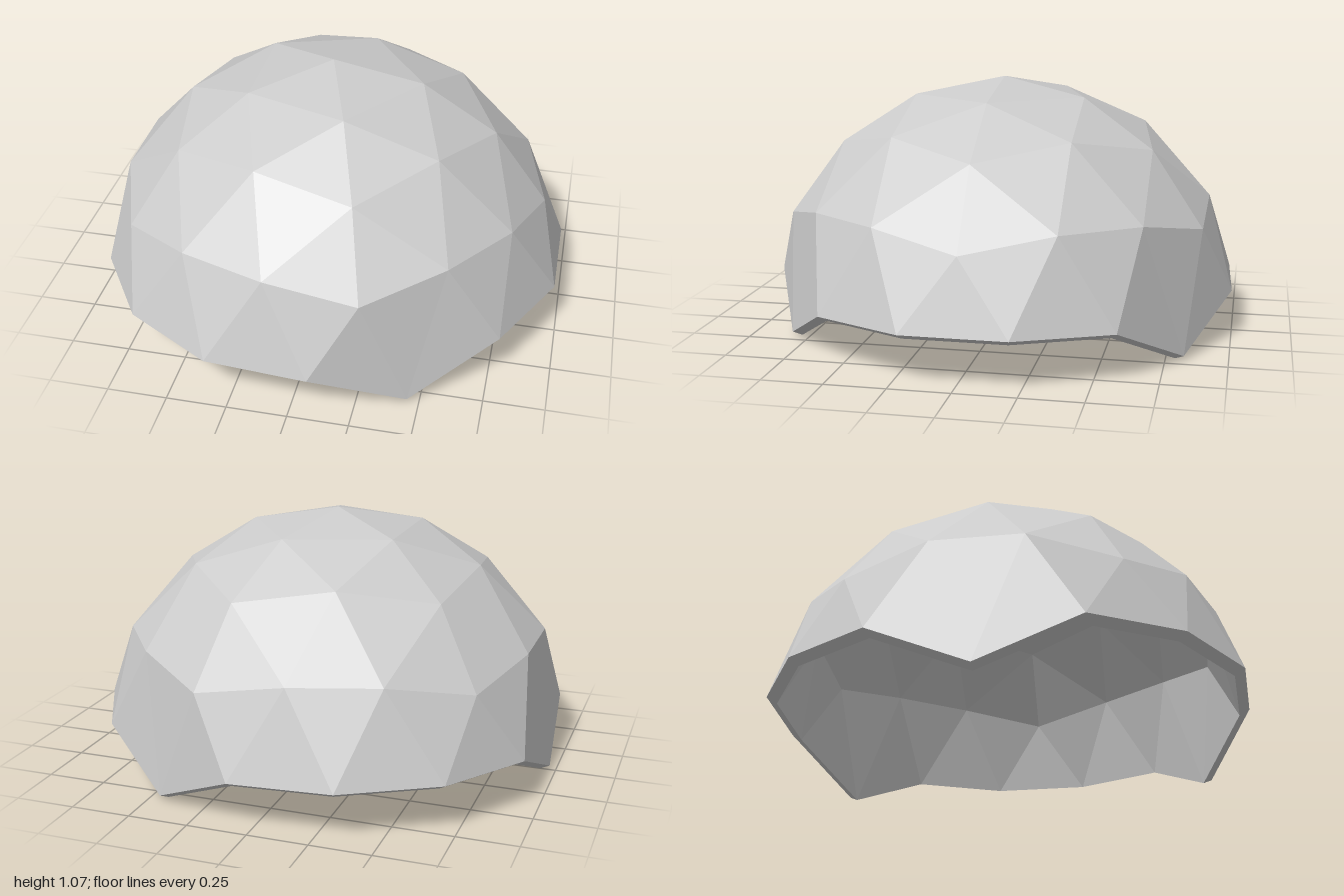
import * as THREE from 'three';

const CX = -0.0235, CY = 0.04; // centre of the dome
const COUNTS = [1, 5, 10, 15, 15]; // vertices per ring, apex to rim
const STARTS = [0, 1, 6, 16, 31];
const TOTAL = 46;

// Radius and height of vertex n in a ring
function profile(ring, n) {
  if (ring === 0) return [0, 1.0757];
  if (ring === 1) return [0.381, 1.004];
  if (ring === 2) return n % 2 ? [0.622, 0.872] : [0.694, 0.807];
  if (ring === 3) return n % 3 ? [0.89, 0.569] : [0.921, 0.5];
  // rim: three drooping tips, five steps apart
  const step = n % 5;
  if (step === 2) return [0.951, 0.0205];
  return step === 1 || step === 3 ? [1.003, 0.2] : [1.026, 0.208];
}

// One skin of the dome, shrunk about its centre
function addSkin(positions, scale, rimDrop) {
  COUNTS.forEach((count, ring) => {
    for (let n = 0; n < count; n++) {
      const [r, y] = profile(ring, n);
      const a = ((n + (ring === 4 ? 0.5 : 0)) / count) * Math.PI * 2;
      positions.push(
        CX + r * scale * Math.cos(a),
        CY + (y - CY) * scale - (ring === 4 ? rimDrop : 0),
        r * scale * Math.sin(a)
      );
    }
  });
}

export function createModel() {
  const positions = [];
  addSkin(positions, 1, 0);
  addSkin(positions, 0.957, 0.019);

  const at = (ring, n) => STARTS[ring] + ((n + COUNTS[ring]) % COUNTS[ring]);
  const outer = [];

  // Five-sided geodesic cap, three rows per sector
  for (let k = 0; k < 3; k++) {
    for (let i = 0; i < 5; i++) {
      for (let j = 0; j <= k; j++) {
        const a = at(k, k * i + j), o = (k + 1) * i + j;
        outer.push([a, at(k + 1, o + 1), at(k + 1, o)]);
        if (j < k) outer.push([a, at(k, k * i + j + 1), at(k + 1, o + 1)]);
      }
    }
  }
  // Lower band of alternating triangles
  for (let n = 0; n < 15; n++) {
    outer.push([at(3, n), at(4, n), at(4, n - 1)]);
    outer.push([at(3, n), at(3, n + 1), at(4, n)]);
  }

  const index = [];
  for (const [a, b, c] of outer) {
    index.push(a, b, c, a + TOTAL, c + TOTAL, b + TOTAL);
  }
  // Edge closing the two skins
  for (let n = 0; n < 15; n++) {
    const a = at(4, n), b = at(4, n + 1);
    index.push(a, b, b + TOTAL, a, b + TOTAL, a + TOTAL);
  }

  const geometry = new THREE.BufferGeometry();
  geometry.setAttribute('position', new THREE.Float32BufferAttribute(positions, 3));
  geometry.setIndex(index);
  geometry.computeVertexNormals();

  const shell = new THREE.Mesh(
    geometry,
    new THREE.MeshStandardMaterial({ color: 0xcccccc, flatShading: true })
  );
  shell.name = 'domeShell';

  const group = new THREE.Group();
  group.name = 'geodesicDome';
  group.add(shell);
  return group;
}
